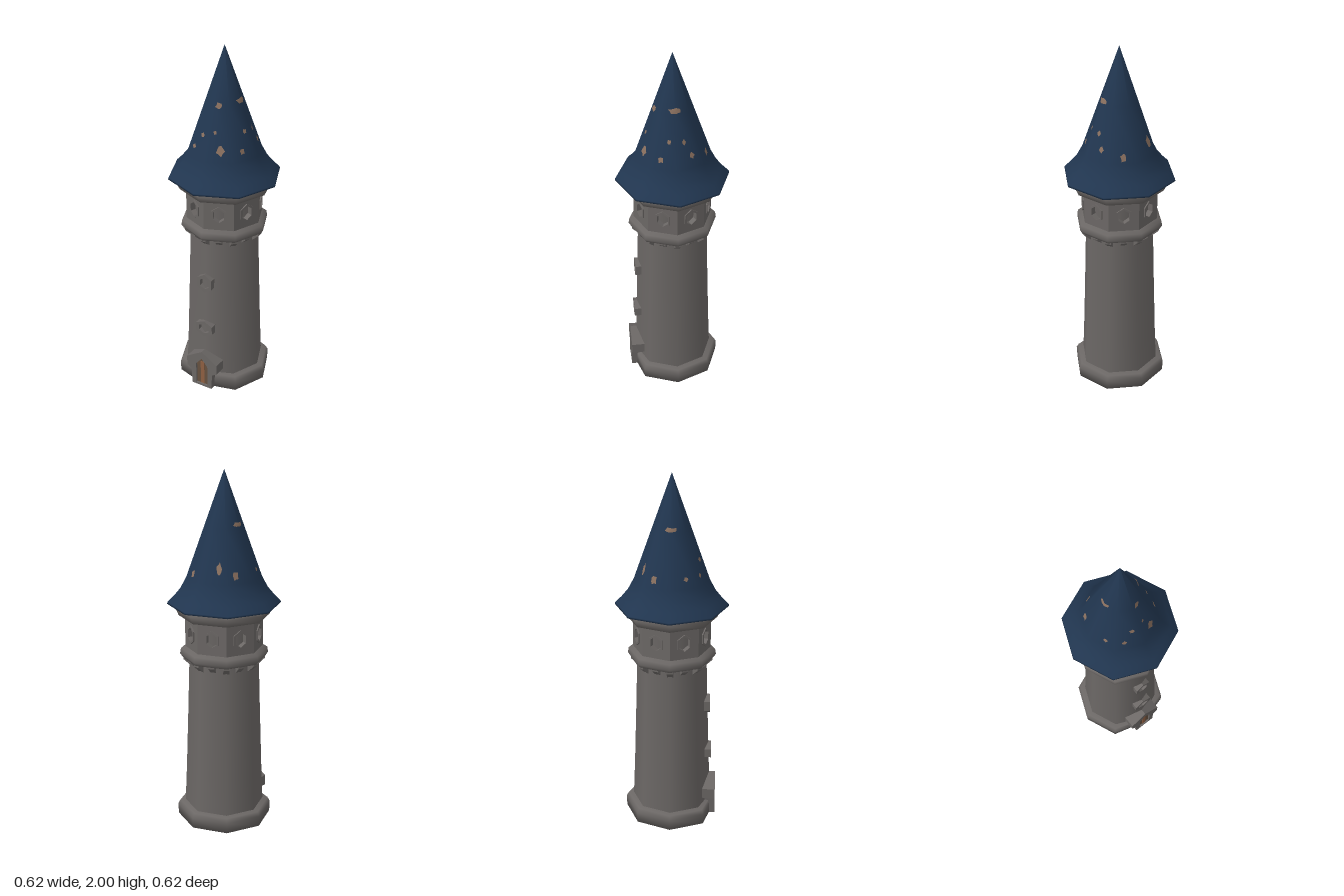
import * as THREE from 'three';

const mat = (name, color) => {
  const m = new THREE.MeshStandardMaterial({ color });
  m.name = name;
  return m;
};
const V2 = (pts) => pts.map(([x, y]) => new THREE.Vector2(x, y));

// Shape from an outline, with an optional hole
function outline(pts, hole) {
  const s = new THREE.Shape(V2(pts));
  if (hole) s.holes.push(new THREE.Path(V2(hole)));
  return s;
}
// Pointed six-sided opening
const hexagon = (w, h, y = 0) => [0, 1, 2, 3, 4, 5].map((i) => {
  const a = Math.PI / 2 + (i * Math.PI) / 3;
  return [w * Math.cos(a), y + h * Math.sin(a)];
});

// Radius of the roof's corners at height y
function roofRadius(y) {
  return 0.355 * (2 - y);
}
// Distance from the axis to an octagon of corner radius r, at angle a
function octagon(r, a) {
  const step = Math.PI / 4;
  const off = a - (Math.floor(a / step) + 0.5) * step;
  return (r * Math.cos(step / 2)) / Math.cos(off);
}

export function createModel() {
  const tower = new THREE.Group();
  tower.name = 'tower';
  const stone = mat('stone', 0x6b6765);
  const roofBlue = mat('roof blue', 0x213650);
  const bareWood = mat('bare wood', 0x8a705f);
  const doorWood = mat('door wood', 0x66513f);
  const doorPlank = mat('door plank', 0x8f5f42);

  const add = (name, geo, material, parent = tower) => {
    const m = new THREE.Mesh(geo, material);
    m.name = name;
    parent.add(m);
    return m;
  };
  const lathe = (name, pts, material) => add(name, new THREE.LatheGeometry(V2(pts), 8), material);
  const slab = (name, shape, depth, material, parent) =>
    add(name, new THREE.ExtrudeGeometry(shape, { depth, bevelEnabled: false }), material, parent);

  // Plinth, flattened at the front behind the door
  const base = lathe('base', [[0, 0], [0.265, 0], [0.268, 0.06], [0.255, 0.085], [0.2, 0.09]], stone);
  const bp = base.geometry.attributes.position;
  for (let i = 0; i < bp.count; i++) bp.setZ(i, Math.min(bp.getZ(i), 0.238));

  // Shaft, ring ledge and cornice
  lathe('shaft', [[0.225, 0.07], [0.215, 0.3], [0.203, 0.65], [0.193, 0.97]], stone);
  lathe('ledge', [[0.18, 0.95], [0.232, 0.965], [0.245, 0.985], [0.24, 1.015], [0.2, 1.035], [0.17, 1.035]], stone);
  lathe('cornice', [[0.17, 1.19], [0.215, 1.195], [0.25, 1.205], [0.268, 1.245], [0.25, 1.262], [0.1, 1.262]], stone);

  // Lookout: eight wall panels with framed openings around an inner core
  lathe('lookoutCore', [[0.183, 1.0], [0.183, 1.22]], stone);
  const half = 0.215 * Math.sin(Math.PI / 8);
  const apothem = 0.215 * Math.cos(Math.PI / 8);
  const opening = hexagon(0.034, 0.042, 1.115);
  const wall = outline([[-half, 1.02], [half, 1.02], [half, 1.205], [-half, 1.205]], opening);
  const rim = outline(hexagon(0.046, 0.054, 1.115), opening);
  for (let i = 0; i < 8; i++) {
    const side = new THREE.Group();
    side.name = 'lookoutSide';
    side.rotation.y = ((i + 0.5) * Math.PI) / 4;
    slab('lookoutWall', wall, 0.025, stone, side).position.z = apothem - 0.025;
    slab('openingFrame', rim, 0.01, stone, side).position.z = apothem - 0.003;
    tower.add(side);
  }

  // Tapered brackets under the ledge
  const bracketShape = outline([[0, 0], [0.045, 0.04], [0.045, 0.06], [0, 0.06]]);
  for (let i = 0; i < 16; i++) {
    const a = (i * Math.PI) / 8;
    const holder = new THREE.Group();
    holder.name = 'bracket';
    holder.rotation.y = a;
    const b = slab('bracketStone', bracketShape, 0.034, stone, holder);
    b.rotation.y = -Math.PI / 2;
    b.position.set(0.017, 0.915, octagon(0.19, a + 1e-6) - 0.008);
    tower.add(holder);
  }

  // Two small framed windows up the front
  for (const [y, w, h] of [[0.385, 0.062, 0.05], [0.68, 0.052, 0.058]]) {
    const frame = outline(hexagon(w, h), hexagon(w * 0.62, h * 0.62));
    const r = 0.225 - 0.035 * y;
    slab('windowFrame', frame, 0.055, stone).position.set(0, y, r - 0.04);
  }

  // Gabled doorway and planked door
  const arch = [[-0.038, 0.012], [0.038, 0.012], [0.038, 0.145], [0, 0.19], [-0.038, 0.145]];
  const surround = outline([[-0.065, 0], [0.065, 0], [0.07, 0.1], [0.1, 0.115], [0.1, 0.175],
    [0, 0.238], [-0.1, 0.175], [-0.1, 0.115], [-0.07, 0.1]], arch);
  slab('doorFrame', surround, 0.075, stone).position.z = 0.178;
  slab('door', outline(arch), 0.006, doorWood).position.z = 0.236;
  slab('doorPlank', outline([[-0.012, 0.014], [0.012, 0.014], [0.012, 0.165], [-0.012, 0.165]]),
    0.003, doorPlank).position.z = 0.242;

  // Flared spire
  lathe('roof', [[0.1, 1.262], [0.25, 1.262], [0.312, 1.27], [0.31, 1.28], [0.275, 1.315],
    [0.238, 1.36], [roofRadius(1.42), 1.42], [roofRadius(1.7), 1.7], [0, 2]], roofBlue);

  // Bare patches: x, z, half width, half height
  const patches = [
    [-0.09, -0.14, 0.014, 0.03], [0.07, -0.165, 0.015, 0.02], [-0.155, -0.085, 0.016, 0.022],
    [-0.1, 0, 0.034, 0.012], [-0.155, 0.08, 0.012, 0.012], [0.15, -0.08, 0.013, 0.016],
    [0.14, -0.04, 0.01, 0.014], [0.1, 0, 0.034, 0.014], [0.155, 0.08, 0.014, 0.015],
    [0.14, 0.035, 0.01, 0.012], [0.025, 0.095, 0.016, 0.016], [0.07, 0.155, 0.02, 0.026],
    [-0.09, 0.15, 0.012, 0.012], [-0.04, 0.145, 0.013, 0.012], [0.03, 0.14, 0.008, 0.01]];
  patches.forEach(([x, z, w, h], k) => {
    const a0 = Math.atan2(x, z);
    const d = Math.hypot(x, z);
    const y0 = 2 - d / octagon(1, a0) / 0.355;
    const geo = new THREE.CircleGeometry(1, 9);
    const p = geo.attributes.position;
    for (let i = 0; i < p.count; i++) {
      const ragged = 1 + 0.22 * Math.sin((i % 9) * 2.7 + k);
      const a = a0 + (p.getX(i) * w * ragged) / d;
      const y = y0 + p.getY(i) * h * ragged;
      const r = octagon(roofRadius(y), a) + 0.004;
      p.setXYZ(i, r * Math.sin(a), y, r * Math.cos(a));
    }
    geo.computeVertexNormals();
    add('roofPatch', geo, bareWood);
  });

  return tower;
}
